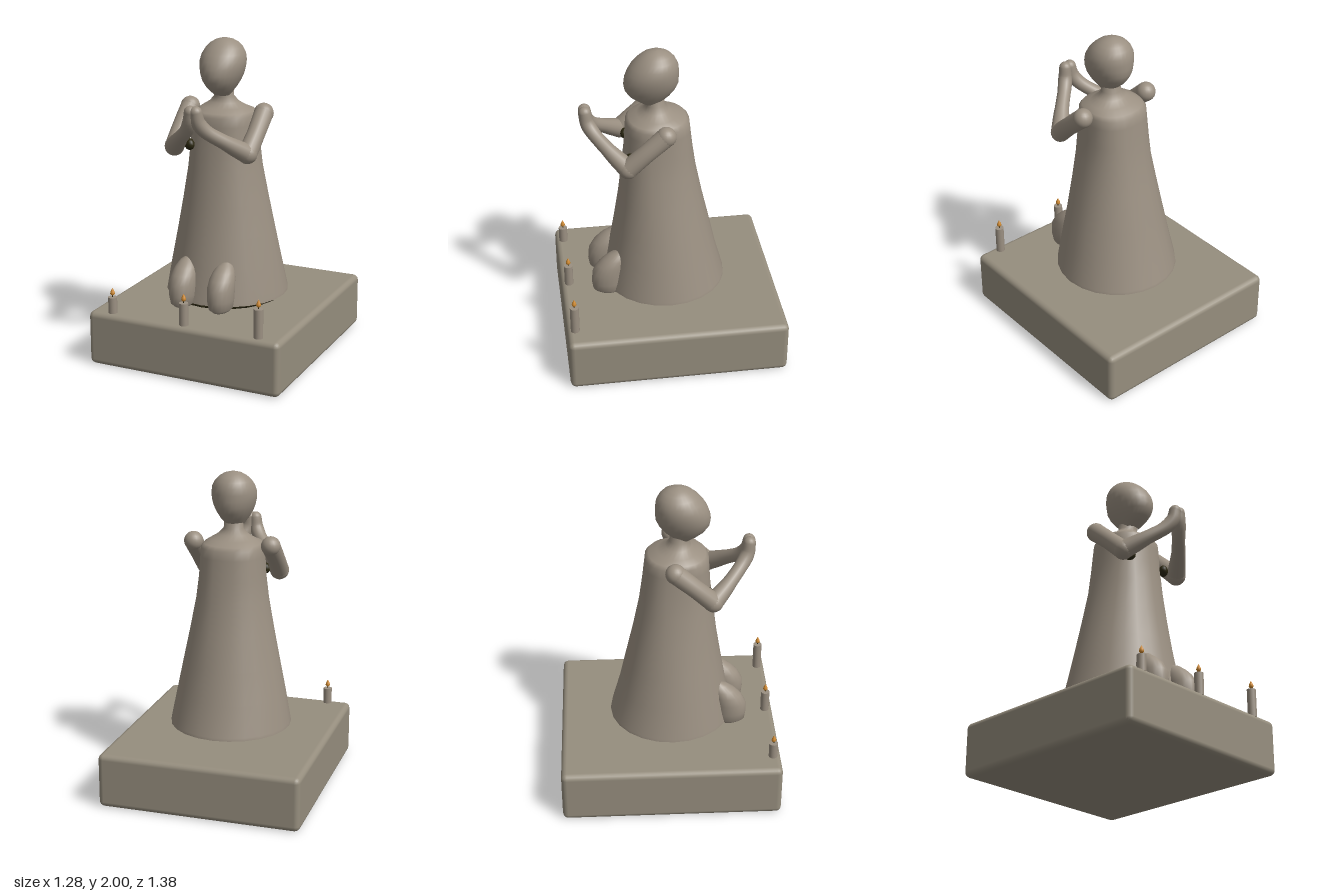
import * as THREE from 'three';
import { RoundedBoxGeometry } from 'three/addons/geometries/RoundedBoxGeometry.js';

const plinthStone = new THREE.MeshStandardMaterial({ color: 0x968e7e });
plinthStone.name = 'plinth stone';
const figureStone = new THREE.MeshStandardMaterial({ color: 0x9b9082 });
figureStone.name = 'figure stone';
const shadeStone = new THREE.MeshStandardMaterial({ color: 0x2b2710 });
shadeStone.name = 'dark lining';
const flameOrange = new THREE.MeshStandardMaterial({ color: 0xd08a30 });
flameOrange.name = 'flame orange';

function add(parent, name, geometry, material, x = 0, y = 0, z = 0) {
  const mesh = new THREE.Mesh(geometry, material);
  mesh.name = name;
  mesh.position.set(x, y, z);
  parent.add(mesh);
  return mesh;
}

// Stacked superellipse sections: [y, centre z, half width, half depth, exponent]
function loft(rows, segments = 24) {
  const positions = [], index = [];
  const power = (v, e) => Math.sign(v) * Math.abs(v) ** (2 / e);
  rows.forEach(([y, cz, rx, rz, e = 2]) => {
    for (let j = 0; j < segments; j++) {
      const a = (j / segments) * Math.PI * 2;
      positions.push(rx * power(Math.cos(a), e), y, cz + rz * power(Math.sin(a), e));
    }
  });
  for (let i = 0; i < rows.length - 1; i++) {
    for (let j = 0; j < segments; j++) {
      const a = i * segments + j, b = i * segments + (j + 1) % segments;
      index.push(a, a + segments, b, b, a + segments, b + segments);
    }
  }
  const g = new THREE.BufferGeometry();
  g.setAttribute('position', new THREE.Float32BufferAttribute(positions, 3));
  g.setIndex(index);
  g.computeVertexNormals();
  return g;
}

// Tube whose radius follows a list of evenly spaced values
function taperedTube(points, radii, steps = 28, sides = 18) {
  const curve = new THREE.CatmullRomCurve3(points.map(p => new THREE.Vector3(...p)));
  const g = new THREE.TubeGeometry(curve, steps, 1, sides);
  const pos = g.attributes.position, nor = g.attributes.normal;
  for (let i = 0; i <= steps; i++) {
    const c = curve.getPointAt(i / steps);
    const t = (i / steps) * (radii.length - 1), k = Math.min(Math.floor(t), radii.length - 2);
    const r = THREE.MathUtils.lerp(radii[k], radii[k + 1], t - k);
    for (let j = 0; j <= sides; j++) {
      const n = i * (sides + 1) + j;
      pos.setXYZ(n, c.x + nor.getX(n) * r, c.y + nor.getY(n) * r, c.z + nor.getZ(n) * r);
    }
  }
  return g;
}

function buildBody(group) {
  // Robe, shoulders and neck in one surface
  add(group, 'robe', loft([
    [0.392, 0.02, 0.385, 0.39], [0.41, 0.02, 0.383, 0.388], [0.6, 0.03, 0.347, 0.345],
    [0.8, 0.035, 0.307, 0.305], [1.0, 0.042, 0.265, 0.265, 2.1], [1.2, 0.05, 0.226, 0.232, 2.2],
    [1.35, 0.052, 0.205, 0.212, 2.4], [1.48, 0.055, 0.198, 0.2, 2.4], [1.535, 0.056, 0.194, 0.195, 2.4],
    [1.558, 0.058, 0.18, 0.175, 2.3], [1.58, 0.06, 0.145, 0.125], [1.61, 0.065, 0.095, 0.08],
    [1.645, 0.07, 0.062, 0.06], [1.72, 0.08, 0.06, 0.06],
  ]), figureStone);

  // Dark underside, dipping towards the front
  const hem = loft([
    [0.378, 0.02, 0, 0], [0.378, 0.02, 0.365, 0.375],
    [0.396, 0.02, 0.379, 0.384], [0.396, 0.02, 0, 0],
  ]);
  const p = hem.attributes.position;
  for (let i = 0; i < p.count; i++) {
    if (p.getY(i) < 0.39) p.setY(i, 0.38 - 0.018 * p.getZ(i));
  }
  hem.computeVertexNormals();
  add(group, 'robeUnderside', hem, shadeStone);
}

function buildHead(group) {
  // Round skull with the face pushed forward and the chin drawn in
  add(group, 'head', loft([
    [1.655, 0.09, 0.05, 0.05], [1.68, 0.10, 0.066, 0.085], [1.71, 0.102, 0.088, 0.123],
    [1.75, 0.1, 0.111, 0.153], [1.79, 0.094, 0.127, 0.166], [1.83, 0.09, 0.137, 0.164],
    [1.87, 0.082, 0.14, 0.157], [1.91, 0.072, 0.132, 0.142], [1.945, 0.064, 0.113, 0.117],
    [1.972, 0.06, 0.086, 0.088], [1.99, 0.06, 0.054, 0.055], [1.998, 0.06, 0.024, 0.024],
    [2.0, 0.06, 0, 0],
  ], 28), figureStone);
}

function buildSide(group, s, side) {
  // Upper arm with rounded shoulder and elbow
  const shoulder = [s * 0.25, 1.552, 0.035], elbow = [s * 0.245, 1.345, 0.265];
  add(group, side + 'UpperArm', taperedTube([shoulder, [s * 0.252, 1.45, 0.152], elbow], [0.06, 0.056, 0.06]), figureStone);
  add(group, side + 'Shoulder', new THREE.SphereGeometry(0.061, 20, 14), figureStone, ...shoulder);
  add(group, side + 'Elbow', new THREE.SphereGeometry(0.061, 20, 14), figureStone, ...elbow);

  // Forearm bending upward into the joined hands
  const tip = [s * 0.018, 1.622, 0.497];
  add(group, side + 'Forearm', taperedTube(
    [elbow, [s * 0.155, 1.422, 0.365], [s * 0.06, 1.505, 0.455], [s * 0.028, 1.56, 0.487], tip],
    [0.06, 0.053, 0.044, 0.042, 0.045, 0.038]), figureStone);
  add(group, side + 'Fingertips', new THREE.SphereGeometry(0.038, 18, 12), figureStone, ...tip);

  // Knee swelling out of the robe
  add(group, side + 'Knee', loft([
    [0.372, 0.39, 0, 0], [0.374, 0.39, 0.05, 0.075], [0.395, 0.395, 0.07, 0.097],
    [0.45, 0.397, 0.08, 0.103], [0.52, 0.393, 0.083, 0.101], [0.575, 0.372, 0.077, 0.09],
    [0.615, 0.35, 0.064, 0.072], [0.65, 0.325, 0.042, 0.05], [0.68, 0.3, 0, 0],
  ], 20), figureStone, s * 0.13);

  // Dark opening beneath the forearm
  const fold = add(group, side + 'SleeveOpening', new THREE.SphereGeometry(1, 16, 10), shadeStone,
    s * 0.157, 1.358, 0.235);
  fold.scale.set(0.04, 0.036, 0.03);
  fold.rotation.y = s * 0.7;
}

function buildCandle(group, name, x, height) {
  const candle = new THREE.Group();
  candle.name = name;
  candle.position.set(x, 0.345, 0.64);
  group.add(candle);
  add(candle, 'wax', new THREE.CylinderGeometry(0.028, 0.028, height, 16), figureStone, 0, height / 2);
  add(candle, 'wick', new THREE.CylinderGeometry(0.003, 0.003, 0.02, 6), shadeStone, 0, height + 0.008);
  const drop = [[0, 0.01], [0.01, 0.014], [0.015, 0.023], [0.012, 0.035], [0.005, 0.05], [0, 0.06]];
  add(candle, 'flame', new THREE.LatheGeometry(drop.map(q => new THREE.Vector2(...q)), 14),
    flameOrange, 0, height);
}

export function createModel() {
  const model = new THREE.Group();
  model.name = 'kneelingStatue';

  add(model, 'plinth', new RoundedBoxGeometry(1.28, 0.345, 1.38, 2, 0.035), plinthStone, 0, 0.1725);

  const figure = new THREE.Group();
  figure.name = 'prayingFigure';
  model.add(figure);
  buildBody(figure);
  buildHead(figure);
  buildSide(figure, 1, 'left');
  buildSide(figure, -1, 'right');

  buildCandle(model, 'rightCandle', -0.49, 0.102);
  buildCandle(model, 'middleCandle', 0, 0.14);
  buildCandle(model, 'leftCandle', 0.49, 0.18);
  return model;
}
